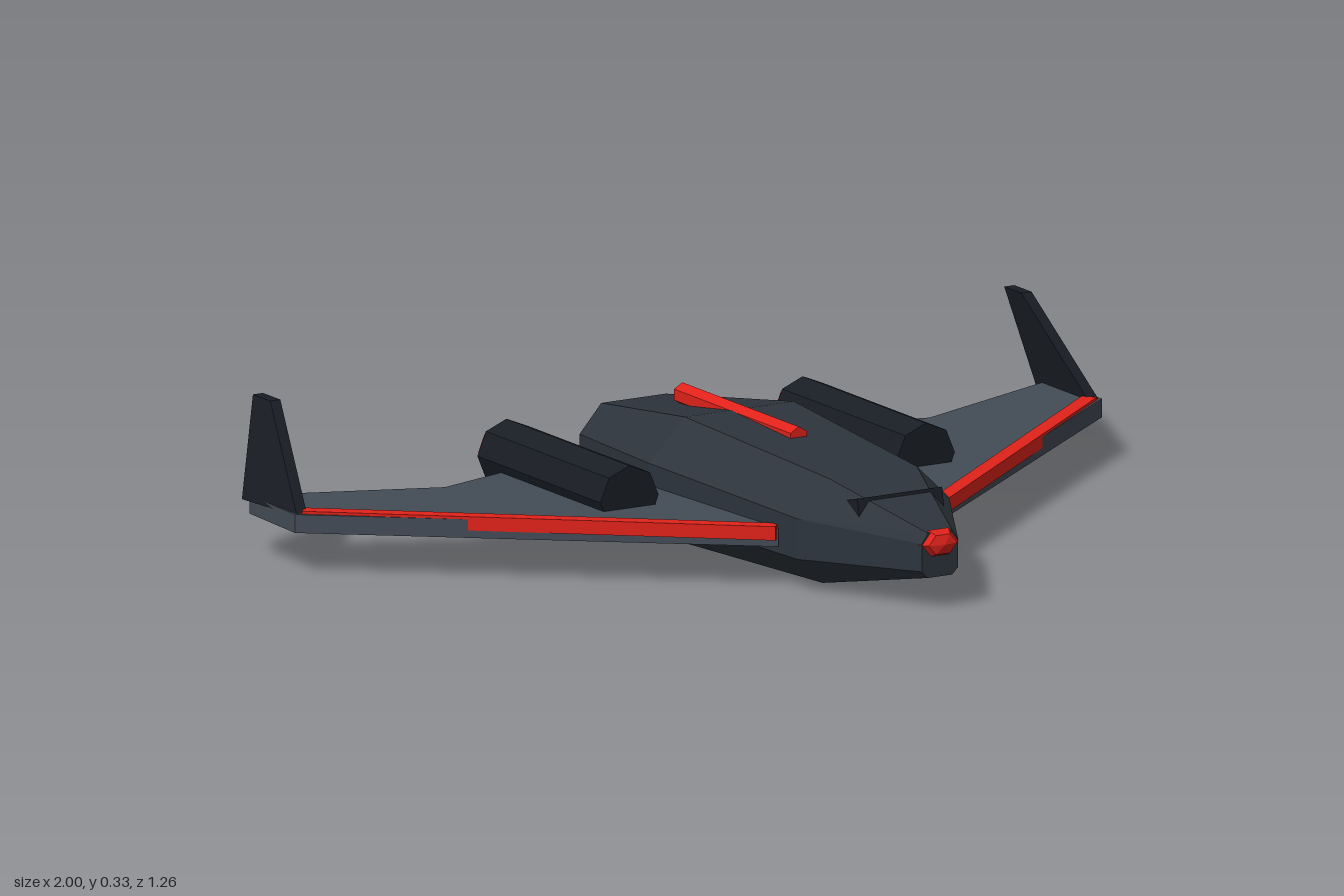
import * as THREE from 'three';

const paint = (color) => new THREE.MeshStandardMaterial({ color, flatShading: true, roughness: 0.8 });

// Loft through closed sections, listed front to back, points counterclockwise from the front
function loft(sections) {
  const n = sections[0].length, pos = [];
  const tri = (...pts) => pts.forEach((p) => pos.push(...p));
  for (let i = 0; i < sections.length - 1; i++) {
    for (let j = 0; j < n; j++) {
      const k = (j + 1) % n, f = sections[i], b = sections[i + 1];
      tri(f[j], b[j], b[k]);
      tri(f[j], b[k], f[k]);
    }
  }
  const first = sections[0], last = sections[sections.length - 1];
  for (let j = 1; j < n - 1; j++) {
    tri(first[0], first[j], first[j + 1]);
    tri(last[0], last[j + 1], last[j]);
  }
  const g = new THREE.BufferGeometry();
  g.setAttribute('position', new THREE.Float32BufferAttribute(pos, 3));
  g.computeVertexNormals();
  return g;
}

const plate = (points, depth) => new THREE.ExtrudeGeometry(
  new THREE.Shape(points.map(([x, y]) => new THREE.Vector2(x, y))), { depth, bevelEnabled: false });

// Profile in (z, y), extruded along x and centred on x = 0
const sidePlate = (points, width) => plate(points, width).rotateY(-Math.PI / 2).translate(width / 2, 0, 0);

export function createModel() {
  const group = new THREE.Group();
  const hullPaint = paint(0x2d343c), wingPaint = paint(0x434b55);
  const darkPaint = paint(0x191d24), redPaint = paint(0xe0221a);
  const add = (name, geometry, material, parent = group) => {
    const mesh = new THREE.Mesh(geometry, material);
    mesh.name = name;
    parent.add(mesh);
    return mesh;
  };

  // Fuselage: z, bottom y, low shoulder y, high shoulder y, top y, half widths bottom / middle / top
  const hull = [
    [0.61, 0.07, 0.085, 0.145, 0.167, 0.03, 0.045, 0.03],
    [0.34, 0.016, 0.075, 0.163, 0.24, 0.125, 0.188, 0.108],
    [-0.2, 0, 0.075, 0.178, 0.267, 0.153, 0.225, 0.135],
    [-0.627, 0.041, 0.08, 0.142, 0.203, 0.09, 0.134, 0.08],
  ].map(([z, y0, y1, y2, y3, a, b, c]) => [
    [-a, y0, z], [a, y0, z], [b, y1, z], [b, y2, z],
    [c, y3, z], [-c, y3, z], [-b, y2, z], [-b, y1, z],
  ]);
  add('fuselage', loft(hull), hullPaint);

  // Nose tip, cockpit visor and dorsal stripe
  const nose = add('noseTip', new THREE.SphereGeometry(1, 6, 4).rotateX(Math.PI / 2), redPaint);
  nose.scale.set(0.05, 0.034, 0.027);
  nose.position.set(0, 0.142, 0.603);
  add('cockpitVisor', sidePlate([[0.455, 0.178], [0.447, 0.218], [0.4, 0.205]], 0.21), darkPaint);
  add('dorsalStripe', new THREE.CylinderGeometry(0.024, 0.024, 0.47, 6).rotateX(Math.PI / 2), redPaint)
    .position.set(0, 0.254, -0.195);

  for (const s of [1, -1]) {
    const side = new THREE.Group();
    side.name = s > 0 ? 'leftSide' : 'rightSide';
    group.add(side);

    // Swept wing plate with a notched trailing edge
    const outline = [[0.195, 0.275], [1, -0.365], [0.99, -0.565], [0.6, -0.41], [0.165, -0.54]];
    add('wing', plate(outline.map(([x, z]) => [s * x, z]), 0.04).rotateX(Math.PI / 2)
      .translate(0, 0.13, 0), wingPaint, side);

    // Leading edge strip, slightly more inset toward the tip
    const root = new THREE.Vector3(s * 0.195, 0.121, 0.268), tip = new THREE.Vector3(s * 0.974, 0.121, -0.374);
    const strip = add('leadingEdgeStrip', new THREE.BoxGeometry(0.034, 0.03, root.distanceTo(tip)), redPaint, side);
    strip.position.lerpVectors(root, tip, 0.5);
    strip.lookAt(tip);

    // Winglet, leaning inward as it rises
    const fin = sidePlate([[-0.365, 0.125], [-0.585, 0.118], [-0.627, 0.33], [-0.557, 0.33]], 0.025);
    const p = fin.attributes.position;
    for (let i = 0; i < p.count; i++) p.setX(i, p.getX(i) + s * (0.982 - 0.25 * (p.getY(i) - 0.125)));
    fin.computeVertexNormals();
    add('winglet', fin, darkPaint, side);

    // Engine pod and its nozzle
    add('enginePod', new THREE.CylinderGeometry(0.072, 0.072, 0.497, 8).rotateX(Math.PI / 2), darkPaint, side)
      .position.set(s * 0.367, 0.15, -0.294);
    add('engineNozzle', new THREE.CylinderGeometry(0.053, 0.053, 0.06, 8).rotateX(Math.PI / 2), redPaint, side)
      .position.set(s * 0.367, 0.15, -0.54);
  }
  return group;
}
